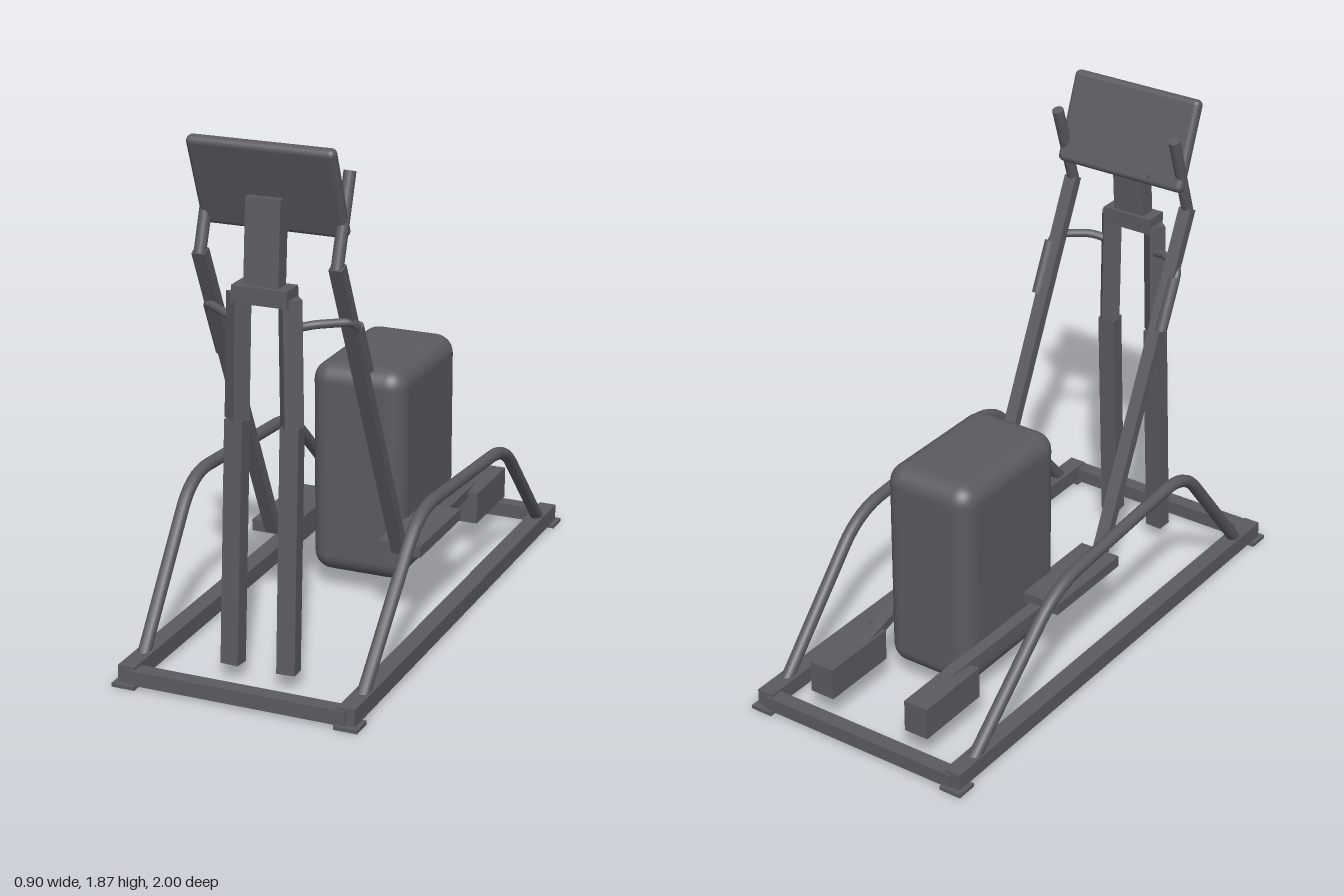
import * as THREE from 'three';
import { RoundedBoxGeometry } from 'three/addons/geometries/RoundedBoxGeometry.js';

const V = (x, y, z) => new THREE.Vector3(x, y, z);

export function createModel() {
  const model = new THREE.Group();
  model.name = 'ellipticalTrainer';
  const grey = new THREE.MeshStandardMaterial({ color: 0x5b5a61 });
  grey.name = 'dark grey';

  function add(name, geometry, x = 0, y = 0, z = 0) {
    const mesh = new THREE.Mesh(geometry, grey);
    mesh.name = name;
    mesh.position.set(x, y, z);
    model.add(mesh);
    return mesh;
  }
  // box given by its limits on each axis
  function block(name, x0, x1, y0, y1, z0, z1) {
    return add(name, new THREE.BoxGeometry(Math.abs(x1 - x0), y1 - y0, z1 - z0),
      (x0 + x1) / 2, (y0 + y1) / 2, (z0 + z1) / 2);
  }
  // rectangular bar between two points
  function bar(name, a, b, width, depth) {
    const mid = a.clone().add(b).multiplyScalar(0.5);
    const mesh = add(name, new THREE.BoxGeometry(width, depth, a.distanceTo(b)), mid.x, mid.y, mid.z);
    mesh.lookAt(b);
    return mesh;
  }
  // round bar between two points
  function rod(name, a, b, radius) {
    const mid = a.clone().add(b).multiplyScalar(0.5);
    const mesh = add(name, new THREE.CylinderGeometry(radius, radius, a.distanceTo(b), 16), mid.x, mid.y, mid.z);
    mesh.quaternion.setFromUnitVectors(V(0, 1, 0), b.clone().sub(a).normalize());
    return mesh;
  }
  // bent tube: straight runs with rounded corners
  function bentTube(name, points, radius, bend) {
    const path = new THREE.CurvePath();
    let start = points[0];
    for (let i = 1; i < points.length - 1; i++) {
      const p = points[i];
      const before = p.clone().add(points[i - 1].clone().sub(p).setLength(bend));
      const after = p.clone().add(points[i + 1].clone().sub(p).setLength(bend));
      path.add(new THREE.LineCurve3(start, before));
      path.add(new THREE.QuadraticBezierCurve3(before, p, after));
      start = after;
    }
    path.add(new THREE.LineCurve3(start, points[points.length - 1]));
    return add(name, new THREE.TubeGeometry(path, 64, radius, 12), 0, 0, 0);
  }

  // flywheel housing
  add('flywheelHousing', new RoundedBoxGeometry(0.36, 0.80, 0.55, 5, 0.07), 0, 0.47, -0.298);

  // cross beams at both ends of the base
  for (const z of [-0.96, 0.96]) block('crossBeam', -0.4, 0.4, 0.012, 0.065, z - 0.028, z + 0.028);

  // console: collar, neck, tilted screen and ledge
  block('consoleCollar', -0.1, 0.1, 1.33, 1.39, 0.67, 0.757);
  bar('consoleNeck', V(0, 1.36, 0.715), V(0, 1.68, 0.69), 0.125, 0.06);
  const screen = add('consoleScreen', new RoundedBoxGeometry(0.525, 0.335, 0.045, 4, 0.02), 0, 1.712, 0.678);
  screen.rotation.x = 0.355;
  const ledge = add('consoleLedge', new THREE.BoxGeometry(0.26, 0.015, 0.03), 0, 1.59, 0.61);
  ledge.rotation.x = 0.355;

  for (const s of [-1, 1]) {
    // base rail with foot plates
    block('baseRail', s * 0.372, s * 0.435, 0.014, 0.075, -0.98, 0.98);
    for (const z of [-0.96, 0.96]) {
      block('footPlate', s * 0.365, s * 0.45, 0, 0.014, z - 0.04, z + 0.04);
    }

    // front upright, bent slightly at mid height
    const knee = V(s * 0.1, 0.92, 0.725);
    bar('upright', V(s * 0.103, 0.06, 0.776), knee, 0.066, 0.058);
    bar('upright', knee, V(s * 0.092, 1.355, 0.715), 0.066, 0.06);

    // arched side guard
    bentTube('sideGuard', [
      V(s * 0.405, 0.05, 0.86), V(s * 0.428, 0.565, 0.42),
      V(s * 0.428, 0.51, -0.4), V(s * 0.405, 0.05, -0.87),
    ], 0.023, 0.13);

    // swinging arm with upper handle
    const elbow = V(s * 0.245, 1.47, 0.685);
    bar('swingArm', V(s * 0.245, 0.285, 0.145), elbow, 0.048, 0.038);
    rod('swingHandle', V(s * 0.245, 1.46, 0.688), V(s * 0.245, 1.765, 0.583), 0.021);

    // fixed handle with grip
    bentTube('fixedHandle', [
      V(s * 0.1, 1.25, 0.7), V(s * 0.16, 1.265, 0.68),
      V(s * 0.268, 1.265, 0.6), V(s * 0.268, 1.2, 0.555),
    ], 0.015, 0.03);
    rod('fixedGrip', V(s * 0.268, 1.245, 0.575), V(s * 0.268, 1.065, 0.492), 0.021);

    // pedal, rear link and crank box
    block('pedal', s * 0.165, s * 0.325, 0.27, 0.312, -0.24, 0.152);
    bar('rearLink', V(s * 0.234, 0.265, -0.22), V(s * 0.176, 0.205, -0.75), 0.045, 0.034);
    block('crankBox', s * 0.155, s * 0.25, 0.105, 0.225, -0.91, -0.607);
  }
  return model;
}
